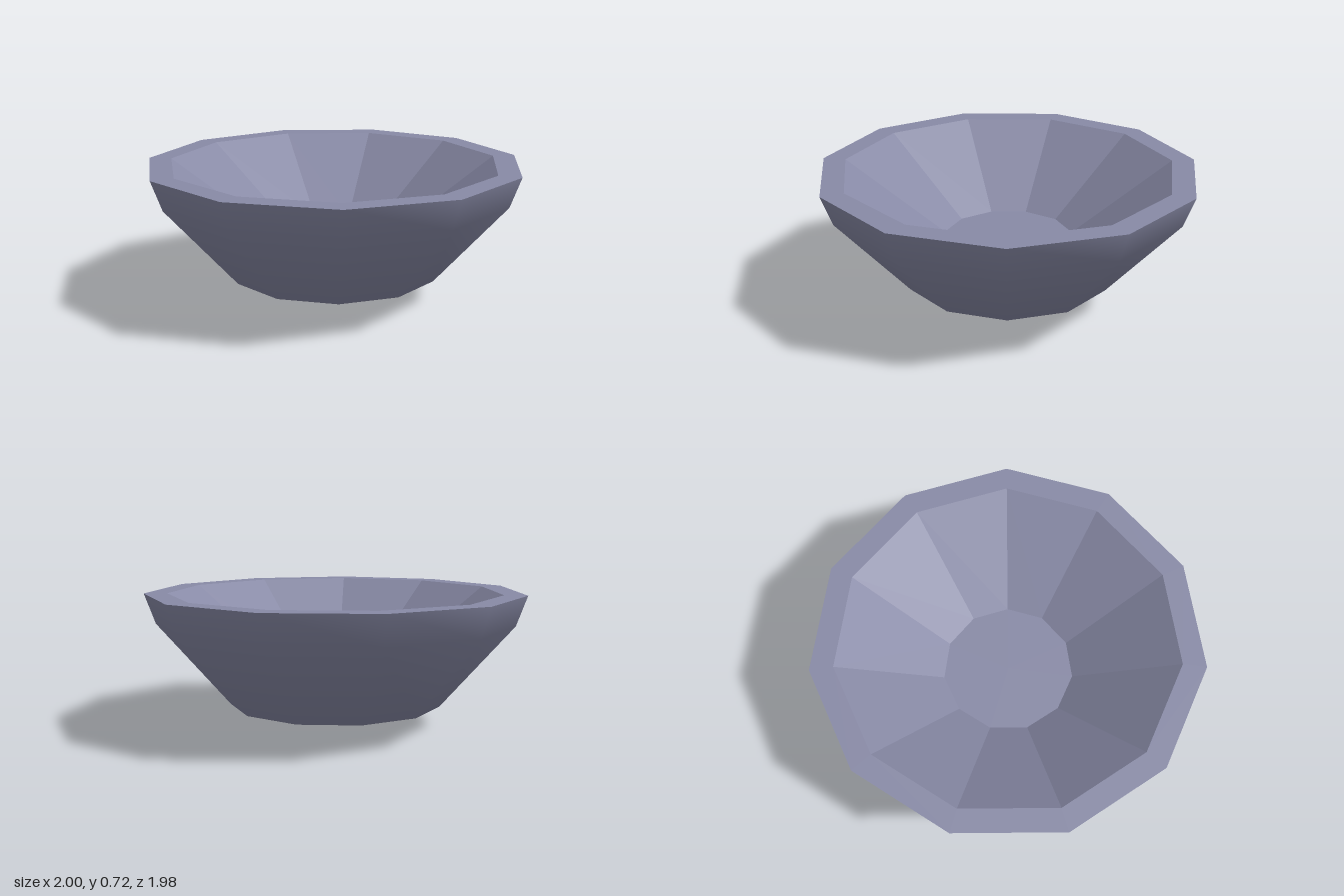
import * as THREE from 'three';

const SIDES = 11;

// Sweeps [radius, height] pairs around y, with one corner facing the front
function ring(name, profile, material, flat) {
  const points = profile.map(([r, y]) => new THREE.Vector2(r, y));
  let geometry = new THREE.LatheGeometry(points, SIDES);
  if (flat) {
    geometry = geometry.toNonIndexed();
    geometry.computeVertexNormals();
  }
  const mesh = new THREE.Mesh(geometry, material);
  mesh.name = name;
  return mesh;
}

export function createModel() {
  const clay = new THREE.MeshStandardMaterial({ color: 0x888aa6 });
  clay.name = 'blue grey clay';

  const bowl = new THREE.Group();
  bowl.name = 'bowl';
  bowl.add(
    // smooth outside, ending in a shallow point underneath
    ring('outerShell', [[0, 0], [0.565, 0.12], [0.952, 0.56], [1.01, 0.72]], clay, false),
    // faceted rim, inner wall and floor
    ring('rim', [[1.01, 0.72], [0.888, 0.72]], clay, true),
    ring('innerWall', [[0.888, 0.72], [0.35, 0.33]], clay, true),
    ring('floor', [[0.35, 0.33], [0, 0.33]], clay, true),
  );
  // an odd number of sides reaches further forward than back
  bowl.position.z = -0.02;

  const model = new THREE.Group();
  model.name = 'model';
  model.add(bowl);
  return model;
}
